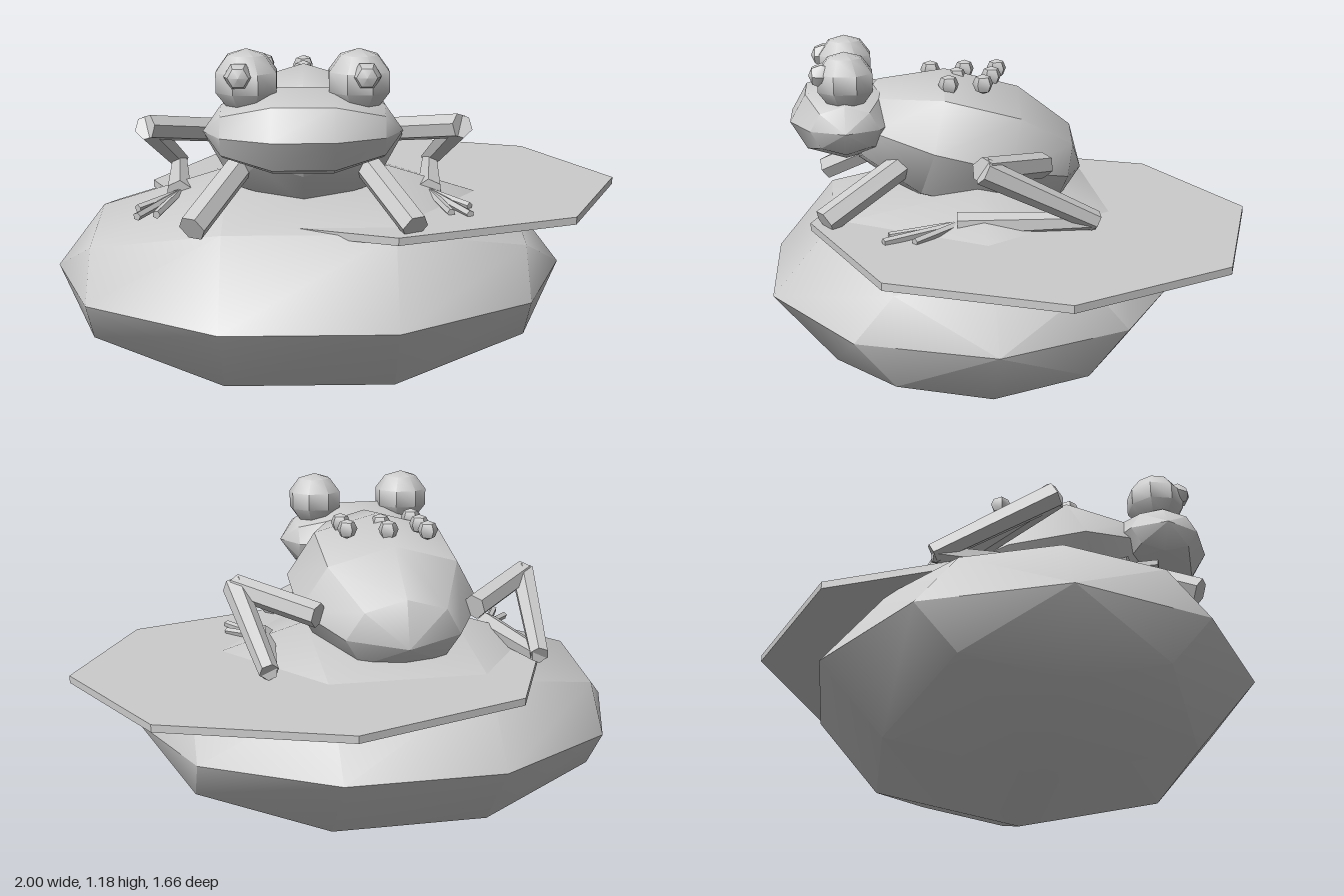
import * as THREE from 'three';
import { toCreasedNormals } from 'three/addons/utils/BufferGeometryUtils.js';

export function createModel() {
  const model = new THREE.Group();
  model.name = 'frogOnRock';
  const grey = new THREE.MeshStandardMaterial({ color: 0xcccccc });
  grey.name = 'stone grey';
  const V = (x, y, z) => new THREE.Vector3(x, y, z);

  function add(parent, name, geometry, crease = 0.7) {
    const mesh = new THREE.Mesh(toCreasedNormals(geometry, crease), grey);
    mesh.name = name;
    parent.add(mesh);
    return mesh;
  }

  // Coarse ellipsoid whose poles lie on the chosen axis
  function blob(axis, rx, ry, rz, segments = 8, rings = 5, turn = 0) {
    const g = new THREE.SphereGeometry(1, segments, rings).rotateY(turn);
    if (axis === 'x') g.rotateZ(Math.PI / 2);
    if (axis === 'z') g.rotateX(Math.PI / 2);
    return g.scale(rx, ry, rz);
  }

  // Straight prism between two points
  function limb(parent, name, a, b, r0, r1 = r0, sides = 6) {
    const d = b.clone().sub(a);
    const mesh = add(parent, name, new THREE.CylinderGeometry(r1, r0, d.length(), sides));
    mesh.position.copy(a).add(b).multiplyScalar(0.5);
    mesh.quaternion.setFromUnitVectors(V(0, 1, 0), d.normalize());
    return mesh;
  }

  // Rock and lily pad
  add(model, 'rock', blob('x', 0.885, 0.373, 0.752)).position.set(-0.115, 0.355, 0.115);
  const pad = new THREE.CylinderGeometry(1, 1, 0.025, 8).scale(0.84, 1, 0.76);
  add(model, 'lilyPad', pad).position.set(0.16, 0.603, -0.07);

  // Frog, symmetrical about its own centre line
  const frog = new THREE.Group();
  frog.name = 'frog';
  frog.position.x = -0.13;
  model.add(frog);

  const body = add(frog, 'body', blob('z', 0.347, 0.25, 0.442));
  body.position.set(0, 0.816, 0.133);
  body.rotation.x = -Math.PI / 12;
  add(frog, 'head', blob('x', 0.31, 0.143, 0.2)).position.set(0, 0.925, 0.56);

  for (const s of [1, -1]) {
    const side = s > 0 ? 'left' : 'right';

    // Eyes
    add(frog, side + 'Eye', blob('y', 0.105, 0.1, 0.105, 8, 5, Math.PI / 8))
      .position.set(s * 0.172, 1.08, 0.555);
    add(frog, side + 'Pupil', blob('z', 0.045, 0.045, 0.045, 6, 4))
      .position.set(s * 0.192, 1.105, 0.632);

    // Front leg
    limb(frog, side + 'FrontLeg', V(s * 0.19, 0.79, 0.36), V(s * 0.345, 0.635, 0.64), 0.046);

    // Folded hind leg
    const knee = V(s * 0.54, 0.85, 0.125);
    const ankle = V(s * 0.475, 0.645, -0.26);
    const heel = V(s * 0.43, 0.635, 0.2);
    limb(frog, side + 'Thigh', V(s * 0.28, 0.79, -0.11), knee, 0.045);
    limb(frog, side + 'Shank', knee, ankle, 0.045, 0.035);
    limb(frog, side + 'Foot', ankle, heel, 0.03, 0.045);

    // Toes
    for (const [x, z] of [[0.55, 0.35], [0.54, 0.45], [0.48, 0.43]]) {
      limb(frog, side + 'Toe', heel, V(s * x, 0.622, z), 0.014, 0.014, 5);
    }
  }

  // Warts in three rows along the back
  const warts = [[-0.135, 0], [-0.135, 0.12], [-0.135, 0.245], [0, 0.035],
    [0, 0.16], [0.14, 0.08], [0.14, 0.2]];
  for (const [x, z] of warts) {
    add(frog, 'wart', blob('y', 0.038, 0.035, 0.038, 5, 4)).position.set(x, 1.05, z);
  }
  return model;
}
